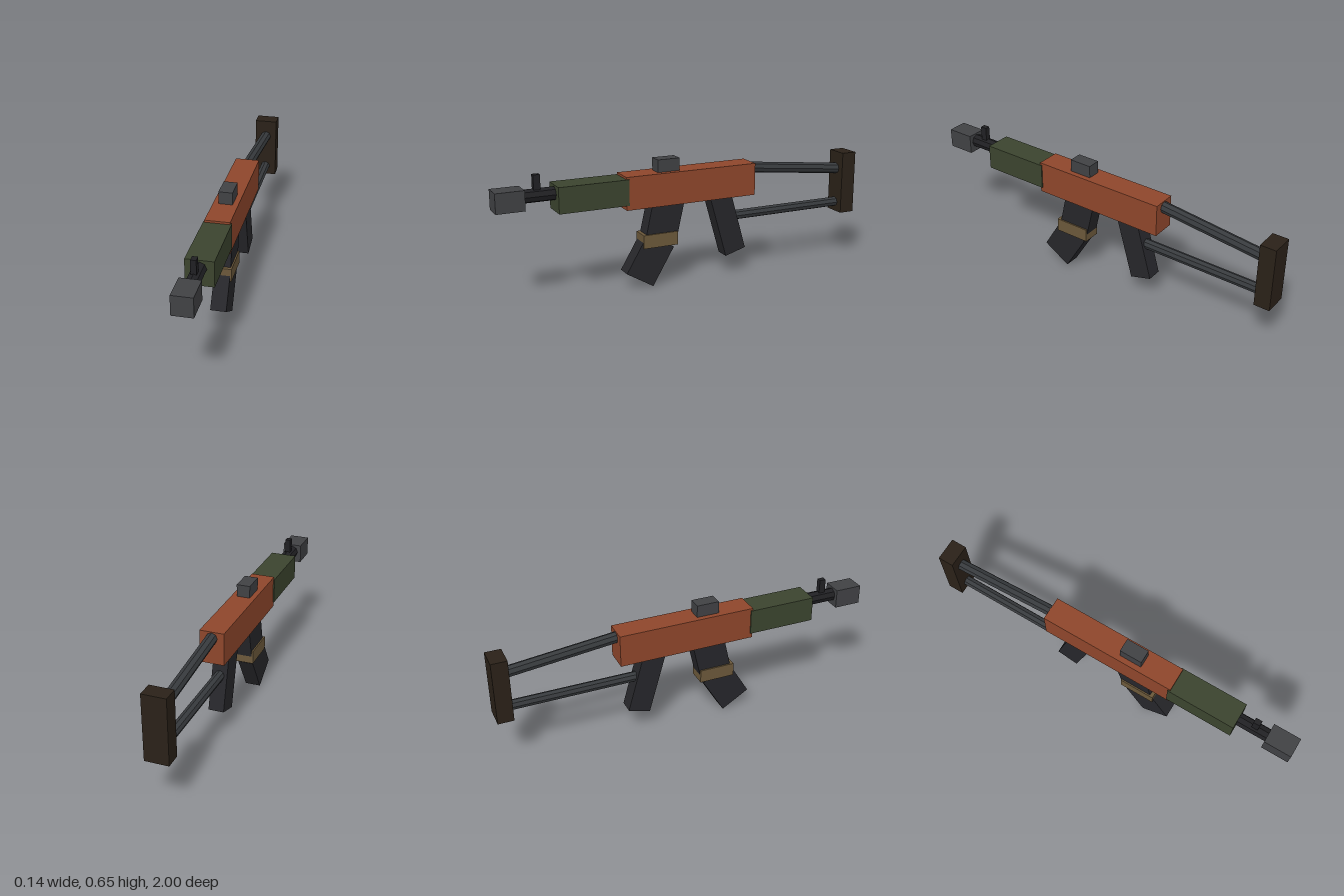
import * as THREE from 'three';

const RUST = 0x8e462b, GREEN = 0x3b442e, STEEL = 0x404144, BLACK = 0x26262a;
const DARK = 0x202023, TAN = 0x6b583a, BROWN = 0x2a2118, ROD = 0x373a3d;

const material = (color) => new THREE.MeshStandardMaterial({ color, flatShading: true });

export function createModel() {
  const model = new THREE.Group();
  model.name = 'toyRifle';

  // Box on the centre line: width, height, depth, centre (y, z), tilt about x
  const box = (name, color, w, h, d, y, z, tilt = 0) => {
    const mesh = new THREE.Mesh(new THREE.BoxGeometry(w, h, d), material(color));
    mesh.name = name;
    mesh.position.set(0, y, z);
    mesh.rotation.x = tilt;
    model.add(mesh);
  };

  // Faceted rod on the centre line between two (y, z) points
  const rod = (name, color, radius, y0, z0, y1, z1) => {
    const a = new THREE.Vector3(0, y0, z0), b = new THREE.Vector3(0, y1, z1);
    const axis = b.clone().sub(a);
    const mesh = new THREE.Mesh(new THREE.CylinderGeometry(radius, radius, axis.length(), 8), material(color));
    mesh.name = name;
    mesh.position.copy(a).add(b).multiplyScalar(0.5);
    mesh.rotation.x = Math.atan2(axis.z, axis.y);
    model.add(mesh);
  };

  // Body and barrel
  box('receiver', RUST, 0.125, 0.168, 0.72, 0.514, -0.008);
  box('handguard', GREEN, 0.137, 0.131, 0.36, 0.5215, 0.52);
  rod('barrel', DARK, 0.034, 0.545, 0.6, 0.545, 0.9);
  box('muzzle', STEEL, 0.102, 0.1, 0.143, 0.537, 0.9285);

  // Sights
  box('frontSight', DARK, 0.027, 0.1, 0.034, 0.597, 0.787);
  box('rearSight', STEEL, 0.07, 0.08, 0.119, 0.622, 0.1125);

  // Bent magazine with a band at the joint
  box('magazineUpper', BLACK, 0.081, 0.2, 0.172, 0.345, 0.138, -0.22);
  box('magazineLower', BLACK, 0.081, 0.227, 0.167, 0.148, 0.2195, -0.54);
  box('magazineBand', TAN, 0.096, 0.07, 0.188, 0.25, 0.164);

  // Grip
  box('grip', BLACK, 0.08, 0.35, 0.119, 0.294, -0.222, 0.28);

  // Skeleton stock
  rod('upperStockRod', ROD, 0.029, 0.566, -0.36, 0.503, -0.94);
  rod('lowerStockRod', ROD, 0.026, 0.316, -0.25, 0.316, -0.94);
  box('buttPlate', BROWN, 0.12, 0.335, 0.082, 0.431, -0.959);

  return model;
}
